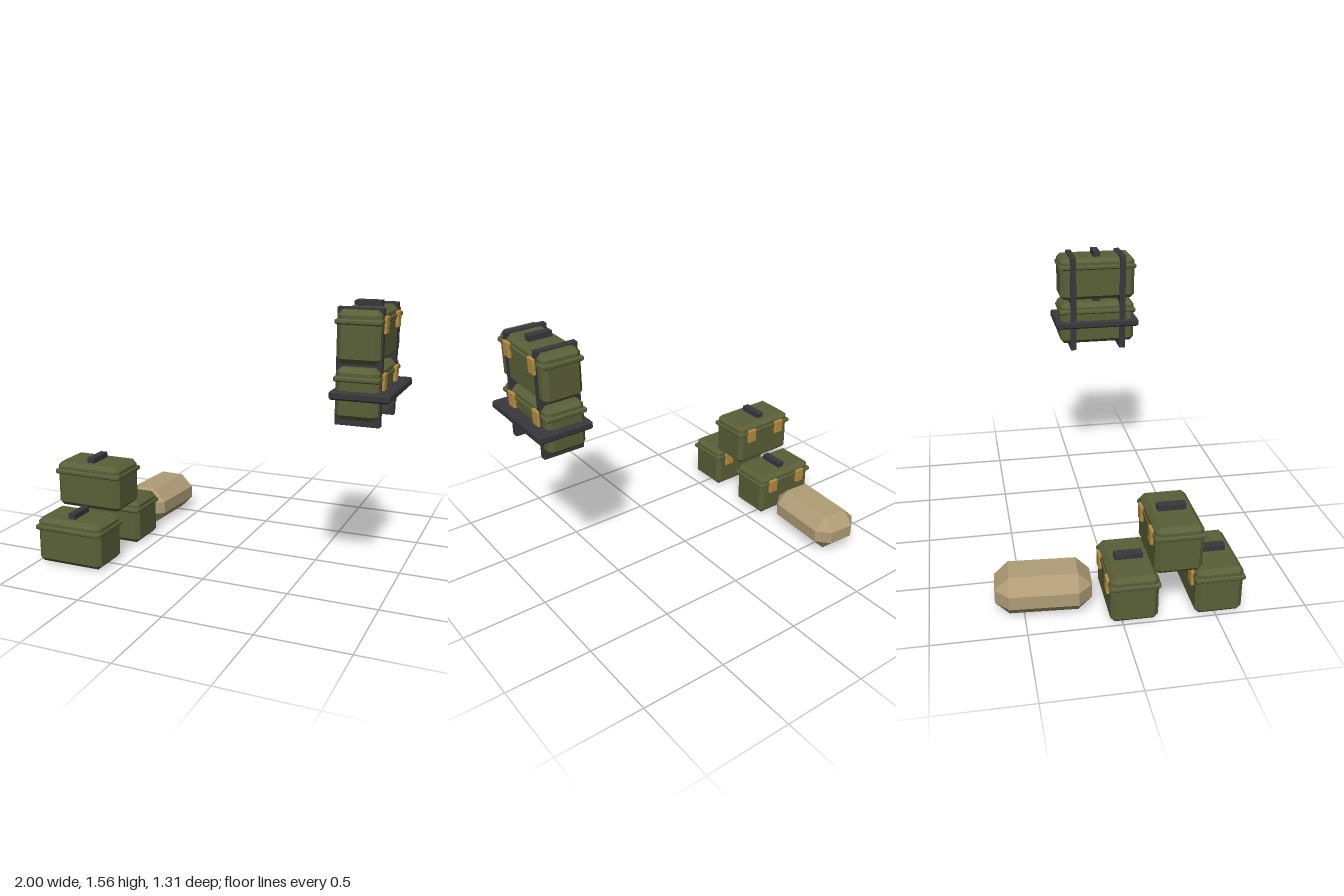
import * as THREE from 'three';
import { ConvexGeometry } from 'three/addons/geometries/ConvexGeometry.js';

const material = (color) => new THREE.MeshStandardMaterial({ color, flatShading: true });
const green = material(0x5a6038);
const dark = material(0x37373d);
const brass = material(0xb98d3f);
const canvas = material(0xb09d76);

// Box with every edge cut at 45 degrees by c, centred on (x, y, z)
function chamferBox(name, mat, [w, h, d], c, [x, y, z]) {
  const points = [];
  for (const sx of [-1, 1]) for (const sy of [-1, 1]) for (const sz of [-1, 1]) {
    for (const [a, b, e] of [[0, c, c], [c, 0, c], [c, c, 0]]) {
      points.push(new THREE.Vector3(sx * (w / 2 - a), sy * (h / 2 - b), sz * (d / 2 - e)));
    }
  }
  const mesh = new THREE.Mesh(new ConvexGeometry(points), mat);
  mesh.name = name;
  mesh.position.set(x, y, z);
  return mesh;
}

// Storage case standing on its own origin, latches on -z
function storageCase(name, length, depth) {
  const g = new THREE.Group();
  g.name = name;
  g.add(chamferBox('caseBody', green, [length, 0.27, depth], 0.025, [0, 0.135, 0]));
  g.add(chamferBox('lidRim', green, [length + 0.014, 0.028, depth + 0.014], 0.007, [0, 0.212, 0]));
  g.add(chamferBox('caseHandle', dark, [0.045, 0.05, depth * 0.6], 0.002, [0, 0.278, 0]));
  for (const s of [-1, 1]) {
    g.add(chamferBox('latch', brass, [0.066, 0.09, 0.024], 0.005, [s * length * 0.28, 0.193, -depth / 2 - 0.004]));
  }
  return g;
}

export function createModel() {
  const model = new THREE.Group();
  model.name = 'cargoSet';

  // Pyramid of three cases
  const pile = new THREE.Group();
  pile.name = 'casePile';
  for (const [name, y, z] of [['frontCase', 0.004, 0.518], ['backCase', 0.004, 0.064], ['topCase', 0.279, 0.291]]) {
    const box = storageCase(name, 0.415, 0.256);
    box.position.set(-0.786, y, z);
    pile.add(box);
  }
  model.add(pile);

  // Two cases strapped one above the other, latches facing +x
  const rack = new THREE.Group();
  rack.name = 'strappedRack';
  for (const [name, y] of [['lowerRackCase', 0.964], ['upperRackCase', 1.255]]) {
    const box = storageCase(name, 0.484, 0.226);
    box.position.set(0.814, y, 0.163);
    box.rotation.y = -Math.PI / 2;
    rack.add(box);
  }
  for (const z of [0.002, 0.324]) {
    rack.add(chamferBox('rackStrap', dark, [0.24, 0.612, 0.038], 0.002, [0.81, 1.229, z]));
  }
  rack.add(chamferBox('rackShelf', dark, [0.318, 0.046, 0.543], 0.009, [0.838, 1.093, 0.16]));
  model.add(rack);

  // Bedroll lying on the ground, slightly turned
  const roll = chamferBox('bedroll', canvas, [0.305, 0.226, 0.517], 0.075, [-0.737, 0.113, -0.39]);
  roll.rotation.y = -0.06;
  model.add(roll);

  return model;
}
